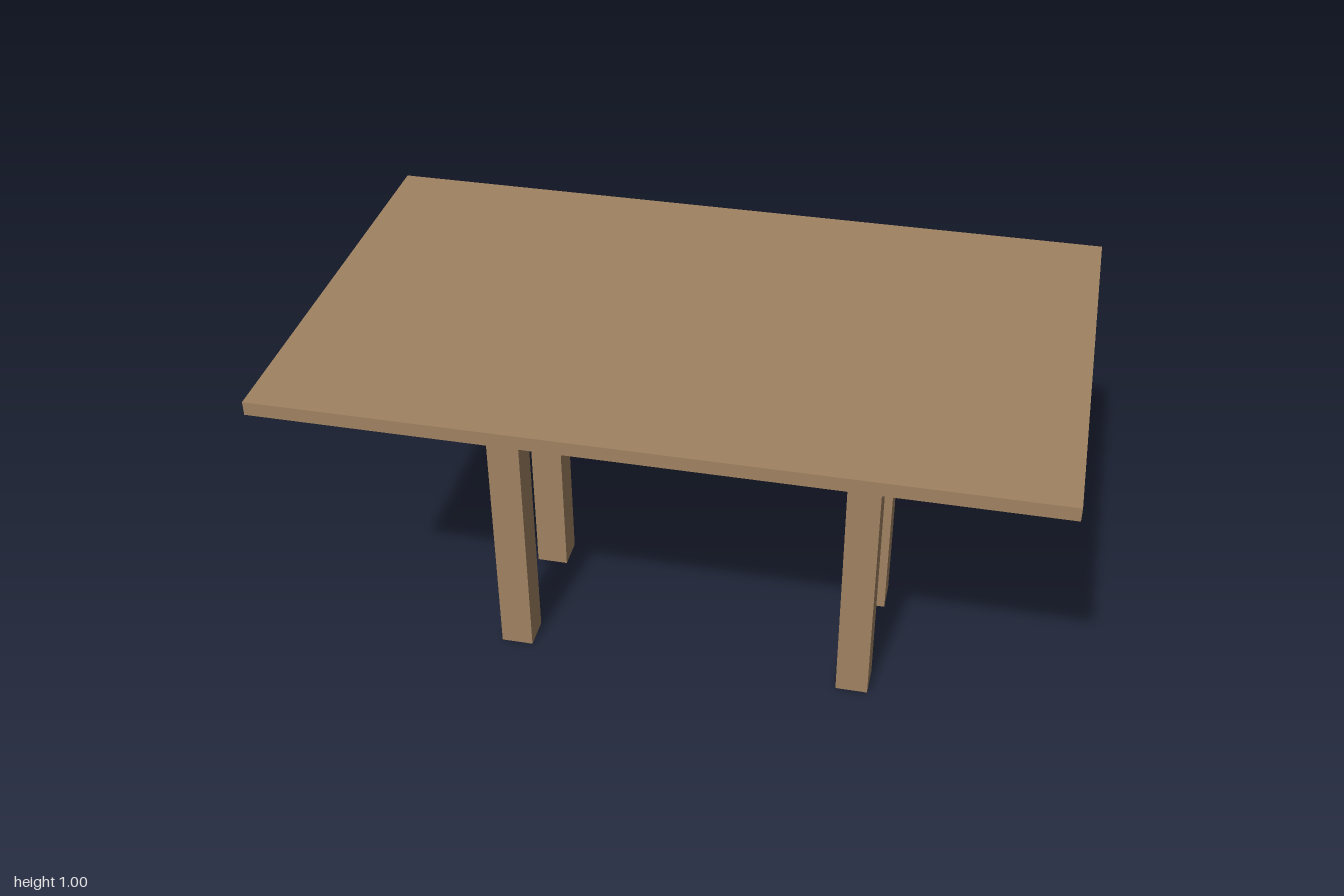
import * as THREE from 'three';

export function createModel() {
  const group = new THREE.Group();
  const wood = new THREE.MeshStandardMaterial({ color: 0xa08262 });
  wood.name = 'wood';

  // Box given by its extents along each axis
  const addBox = (name, [x0, x1], [y0, y1], [z0, z1]) => {
    const mesh = new THREE.Mesh(new THREE.BoxGeometry(x1 - x0, y1 - y0, z1 - z0), wood);
    mesh.position.set((x0 + x1) / 2, (y0 + y1) / 2, (z0 + z1) / 2);
    mesh.name = name;
    group.add(mesh);
  };

  const underside = 0.963;
  const beamY = [0.852, underside];

  addBox('tableTop', [-1, 1], [underside, 1], [-0.597, 0.597]);

  // Two long beams side by side under the top
  addBox('longBeamFront', [-0.788, 0.786], beamY, [0.054, 0.172]);
  addBox('longBeamBack', [-0.788, 0.786], beamY, [-0.17, -0.052]);

  // At each end: a thin cross rail passing through a pair of legs
  for (const [side, x] of [['Right', -0.481], ['Left', 0.477]]) {
    addBox('crossRail' + side, [x - 0.014, x + 0.014], beamY, [-0.446, 0.448]);
    for (const [end, z] of [['Front', 0.185], ['Back', -0.183]]) {
      addBox('leg' + end + side, [x - 0.044, x + 0.044], [0, underside], [z - 0.045, z + 0.045]);
    }
  }
  return group;
}
